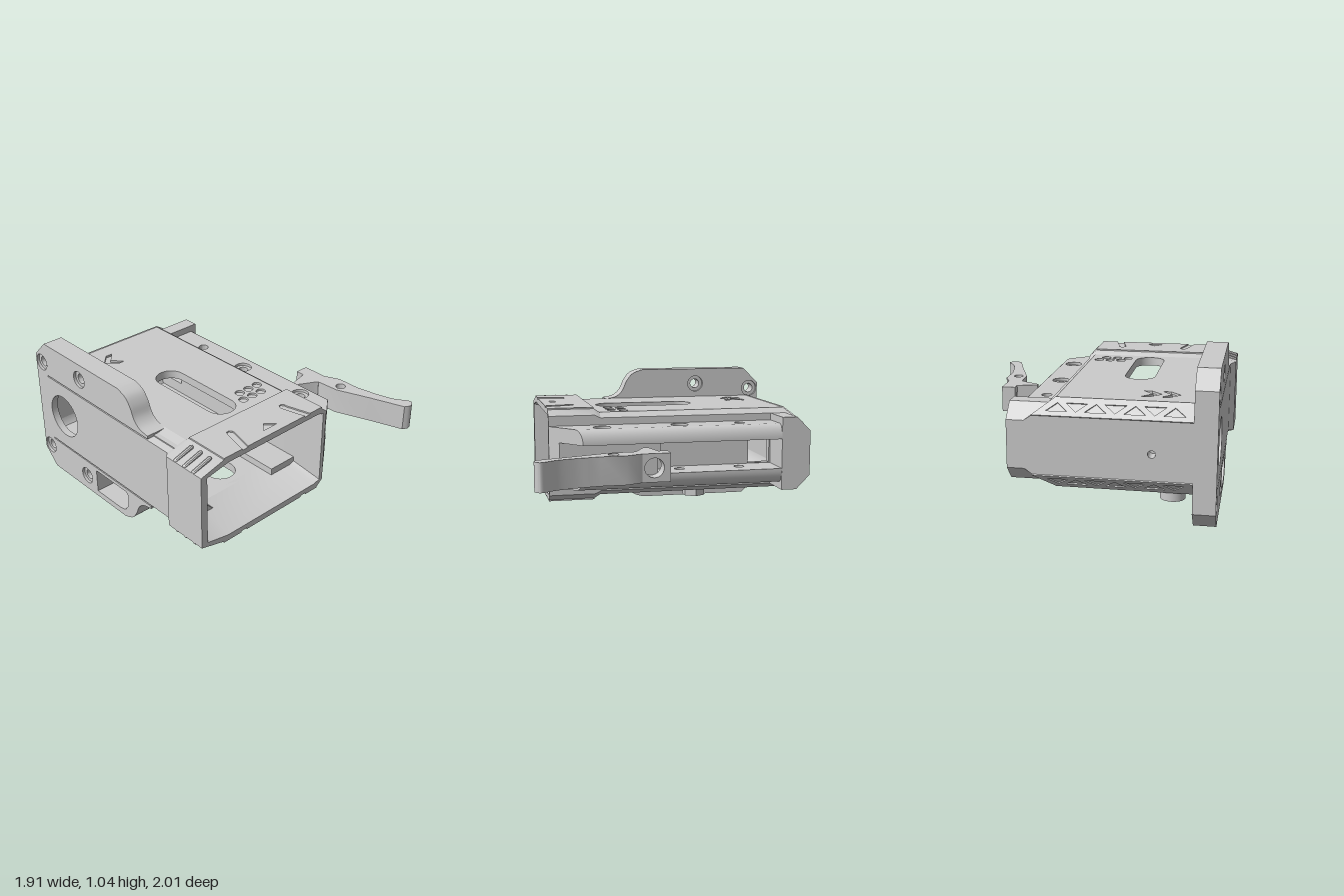
import * as THREE from 'three';
import { toCreasedNormals } from 'three/addons/utils/BufferGeometryUtils.js';

const MID = 0.52; // height of the horizontal mirror plane
const material = new THREE.MeshStandardMaterial({ color: 0xcccccc });

const rect = (a, b, c, d) => [[a, b], [c, b], [c, d], [a, d]];
const circle = (x, y, r, n = 28) => Array.from({ length: n }, (_, i) => {
  const t = (i / n) * Math.PI * 2;
  return [x + r * Math.cos(t), y + r * Math.sin(t)];
});
const curve = (pts, n = 20) => new THREE.SplineCurve(pts.map(p => new THREE.Vector2(...p)))
  .getPoints(n).map(p => [p.x, p.y]);
// Quarter ellipse about (x, y), from the side round to the top
const quarter = (x, y, rx, ry) => Array.from({ length: 11 }, (_, i) => {
  const t = (i / 10) * Math.PI / 2;
  return [x + rx * Math.cos(t), y + ry * Math.sin(t)];
});

// Extrusion of an outline with holes along +z; outlines run anticlockwise
function extrude(pts, holes, depth) {
  const vec = list => {
    const v = list.map(p => new THREE.Vector2(...p));
    return THREE.ShapeUtils.isClockWise(v) ? v.reverse() : v;
  };
  const shape = new THREE.Shape(vec(pts));
  shape.holes = holes.map(h => new THREE.Path(vec(h).reverse()));
  return new THREE.ExtrudeGeometry(shape, { depth, bevelEnabled: false });
}
const alongZ = (pts, z0, z1, holes = []) => extrude(pts, holes, z1 - z0).translate(0, 0, z0);
// Outline in (x, z), thickness in y
const alongY = (pts, y0, y1, holes = []) =>
  extrude(pts, holes, y1 - y0).rotateX(Math.PI / 2).translate(0, y1, 0);
// Outline in (z, y), thickness in x
function alongX(pts, x0, x1, holes = []) {
  const flip = list => list.map(([z, y]) => [-z, y]);
  return extrude(flip(pts), holes.map(flip), x1 - x0).rotateY(Math.PI / 2).translate(x0, 0, 0);
}
const box = (x0, x1, y0, y1, z0, z1) => alongZ(rect(x0, y0, x1, y1), z0, z1);

// Move every vertex by a rule
function reshape(geo, rule) {
  const p = geo.attributes.position, v = new THREE.Vector3();
  for (let i = 0; i < p.count; i++) {
    rule(v.fromBufferAttribute(p, i));
    p.setXYZ(i, v.x, v.y, v.z);
  }
  geo.computeVertexNormals();
  return geo;
}

// Copy reflected in the horizontal mid plane, with corner order reversed
function mirrored(geo) {
  const g = geo.index ? geo.toNonIndexed() : geo.clone();
  const p = g.attributes.position;
  for (let i = 0; i < p.count; i += 3) {
    const b = new THREE.Vector3().fromBufferAttribute(p, i + 1);
    const c = new THREE.Vector3().fromBufferAttribute(p, i + 2);
    p.setXYZ(i + 1, c.x, c.y, c.z);
    p.setXYZ(i + 2, b.x, b.y, b.z);
  }
  return reshape(g, v => { v.y = 2 * MID - v.y; });
}

// Skin through successive loops [points, z]
function loft(rings) {
  const pos = [], idx = [], n = rings[0][0].length;
  rings.forEach(([pts, z]) => pts.forEach(([x, y]) => pos.push(x, y, z)));
  for (let i = 0; i < rings.length - 1; i++) for (let j = 0; j < n; j++) {
    const a = i * n + j, b = i * n + (j + 1) % n;
    idx.push(a, b, b + n, a, b + n, a + n);
  }
  const g = new THREE.BufferGeometry();
  g.setAttribute('position', new THREE.Float32BufferAttribute(pos, 3));
  g.setIndex(idx);
  g.computeVertexNormals();
  return g;
}

export function createModel() {
  const model = new THREE.Group();
  const add = (name, geo) => {
    const mesh = new THREE.Mesh(toCreasedNormals(geo, 0.6), material);
    mesh.name = name;
    model.add(mesh);
  };
  const addPair = (name, geo) => {
    add(name + 'Upper', geo);
    add(name + 'Lower', mirrored(geo));
  };

  // Top and bottom walls with the long rounded window
  const slot = [...circle(-0.315, 0.315, 0.105, 32).slice(0, 17),
    ...circle(-0.315, -0.205, 0.105, 32).slice(16), [-0.21, -0.205]];
  addPair('bodyWall', alongY(rect(-0.86, -0.9, 0.13, 0.5), 0.755, 0.8, [slot]));

  // Engraved skin: dots and chevrons
  const dots = [];
  for (let i = 0; i < 3; i++) dots.push(circle(-0.1 + i * 0.083, 0.28, 0.033), circle(-0.143 + i * 0.083, 0.362, 0.033));
  const chevrons = [-0.65, -0.525].map(x => [[x, -0.705], [x + 0.07, -0.78], [x + 0.123, -0.78],
    [x + 0.055, -0.705], [x + 0.123, -0.63], [x + 0.07, -0.63]]);
  addPair('engravedSkin', alongY(rect(-0.76, -0.9, 0.13, 0.5), 0.8, 0.815, [slot, ...dots, ...chevrons]));

  // Chamfered long edges
  addPair('leftEdge', alongZ([[-0.91, 0.755], [-0.76, 0.755], [-0.76, 0.815], [-0.91, 0.78]], -0.9, 0.5));
  addPair('rightEdge', alongZ([[0.13, 0.755], [0.18, 0.755], [0.18, 0.78], [0.13, 0.815]], -0.9, 0.5));

  // Side walls with round and square windows
  add('leftWall', alongX(rect(-0.9, 0.285, 0.5, 0.755), -0.91, -0.86, [circle(-0.7, MID, 0.16, 40)]));
  add('rightWall', alongX(rect(-0.9, 0.285, 0.5, 0.755), 0.13, 0.18, [rect(-0.78, 0.42, -0.62, 0.625)]));

  // Guide ribs in the cavity corners and the rounded cavity end
  addPair('leftGuide', alongZ([[-0.87, 0.705], [-0.7, 0.705], [-0.64, 0.76], [-0.87, 0.76]], -0.88, 0.6));
  addPair('rightGuide', box(-0.095, 0.14, 0.705, 0.76, -0.88, 0.6));
  const hollow = quarter(0, 0, 0.14, 0.15).map(([a, b]) => [-0.735 - a, 0.61 + b]);
  addPair('cavityEnd', alongX([[-0.875, 0.76], ...hollow], -0.865, 0.135));

  // Flared front collar, inside and out
  const section = (x0, x1, x2, x3, y0, y1, y2) => {
    const low = [[x0, y1], [x1, y0], [x2, y0], [x3, y2]];
    return [...low, ...low.map(([x, y]) => [x, 2 * MID - y]).reverse()];
  };
  const outer = section(-0.95, -0.76, 0.13, 0.18, 0.2, 0.25, 0.24);
  const inner = section(-0.86, -0.7, 0.09, 0.13, 0.285, 0.33, 0.3);
  add('collar', loft([
    [section(-0.91, -0.76, 0.13, 0.18, 0.225, 0.26, 0.26), 0.465], [outer, 0.505], [outer, 0.83],
    [section(-0.9, -0.72, 0.1, 0.15, 0.235, 0.27, 0.25), 0.83], [inner, 0.6], [inner, 0.465]]));
  const notch = (x, lean) => [[x, 0.83], [x + lean, 0.65], [x + lean + 0.012, 0.625], [x + lean + 0.035, 0.62],
    [x + lean + 0.05, 0.64], [x + lean + 0.05, 0.66], [x + 0.05, 0.83]];
  addPair('collarSkin', alongY([[-0.76, 0.505], [-0.76, 0.83], ...notch(-0.605, 0.045), ...notch(-0.035, -0.045),
    [0.13, 0.83], [0.13, 0.505]], 0.84, 0.85, [[[-0.36, 0.77], [-0.24, 0.77], [-0.3, 0.71]]]));
  for (const z of [0.58, 0.665, 0.75])
    addPair('gripRib', new THREE.CapsuleGeometry(0.016, 0.13, 4, 10)
      .rotateZ(Math.PI / 2 + 0.31).translate(-0.872, 0.813, z));

  // Rear block: its back rim is drawn in, carrying the long chamfer outwards across the bevel
  const rear = alongZ([[-0.76, 0.225], [0.13, 0.225], [0.18, 0.26], [0.435, 0.26], [0.435, 0.78], [0.18, 0.78],
    [0.13, 0.815], [-0.76, 0.815]], -1, -0.9, [circle(-0.5, 0.5, 0.025, 20)]);
  add('rearBlock', reshape(rear, v => {
    if (v.z > -0.95 || Math.abs(v.y - MID) < 0.2) return;
    v.y -= Math.sign(v.y - MID) * 0.1;
    if (v.x > 0.1 && v.x < 0.2) v.x += 0.14;
  }));
  add('rearWall', box(-0.9, 0.15, 0.26, 0.78, -0.9, -0.87));
  add('railEndBlock', box(0.15, 0.435, 0.26, 0.78, -0.9, -0.79));
  add('plateRear', box(-0.91, -0.76, 0.235, 0.805, -1, -0.87));

  // Row of triangles cut into each bevel
  const triangles = Array.from({ length: 7 }, (_, i) => {
    const x = -0.64 + i * 0.125, wide = i % 2 ? 0.098 : 0.035, tip = i % 2 ? 0.035 : 0.098;
    return [[x - 0.07, wide], [x + 0.07, wide], [x, tip]];
  });
  addPair('bevelSkin', alongY([[-0.76, 0], [0.27, 0], [0.13, 0.141], [-0.76, 0.141]], 0, 0.008, triangles)
    .rotateX(-Math.PI / 4).translate(0, 0.715, -1));

  // Mounting plate wings with countersunk holes; the lower one has a guard opening
  const wing = [[-1, 0.25], [-1, 0.12], [-0.88, 0], [-0.1, 0],
    ...curve([[-0.03, 0], [0.05, 0.03], [0.1, 0.09], [0.135, 0.165], [0.19, 0.212], [0.27, 0.228]]), [0.27, 0.25]];
  const guard = [[-0.35, 0.222], [-0.35, 0.045], ...curve([[-0.08, 0.045], [-0.025, 0.06], [0.01, 0.11], [0.02, 0.16]], 10),
    [0.02, 0.195], [-0.005, 0.222]];
  for (const [x0, x1, r] of [[-0.91, -0.89, 0.062], [-0.89, -0.78, 0.036], [-0.78, -0.76, 0.062]]) {
    const holes = [circle(-0.47, 0.12, r), circle(-0.93, 0.165, r)];
    add('plateWingLower', alongX(wing, x0, x1, [...holes, guard]));
    add('plateWingUpper', mirrored(alongX(wing, x0, x1, holes)));
  }

  // Side rail: two drilled bars either side of a trench, cut off at a slant in front
  const slant = x => 0.83 - (x - 0.18) * 0.8;
  const stretches = [
    [rect(0.18, -0.79, 0.375, -0.3), 0.28, -0.52, 0.036],
    [rect(0.18, -0.3, 0.375, 0.2), 0.28, -0.08, 0.062],
    [[[0.18, 0.2], [0.375, 0.2], [0.375, slant(0.375)], [0.18, 0.83]], 0.305, 0.475, 0.062]];
  for (const [outline, x, z, sink] of stretches) {
    addPair('railBar', alongY(outline, 0.625, 0.71, [circle(x, z, 0.036)]));
    addPair('railBarSkin', alongY(outline, 0.71, 0.73, [circle(x, z, sink)]));
  }
  addPair('railRoundedEdge', reshape(alongZ([[0.375, 0.625], [0.435, 0.625], ...quarter(0.375, 0.63, 0.06, 0.1)], -0.79, 0.83),
    v => { if (v.z > 0) v.z = slant(v.x); }));
  add('trenchFloor', alongY([[0.18, 0.05], [0.26, 0.05], [0.26, slant(0.26)], [0.18, 0.83]], 0.41, 0.63));

  // Bosses underneath
  add('hexBoss', alongY(circle(-0.03, -0.265, 0.085, 6), 0.16, 0.24, [circle(-0.03, -0.265, 0.028)]));
  add('roundBoss', alongY(circle(-0.62, -0.82, 0.083), 0.16, 0.28, [circle(-0.62, -0.82, 0.028)]));

  // Detached release lever: drilled head, hooked nose and curved tail
  add('leverHead', alongX(rect(0.1, 0.425, 0.32, 0.615), 0.68, 0.78, [circle(0.21, MID, 0.065)]));
  add('leverNose', alongY([[0.53, 0.2], [0.68, 0.165], [0.68, 0.32], [0.655, 0.3], [0.53, 0.235]], 0.425, 0.615));
  add('leverTail', alongY([[0.68, 0.3], [0.78, 0.29], [0.83, 0.4], [0.83, 0.57],
    ...curve([[0.845, 0.65], [0.862, 0.74], [0.9, 0.86], [0.955, 0.945], [0.952, 0.98], [0.91, 1], [0.865, 0.98]], 28),
    [0.78, 0.73], [0.69, 0.49]], 0.425, 0.615, [circle(0.753, 0.475, 0.036)]));

  return model;
}
